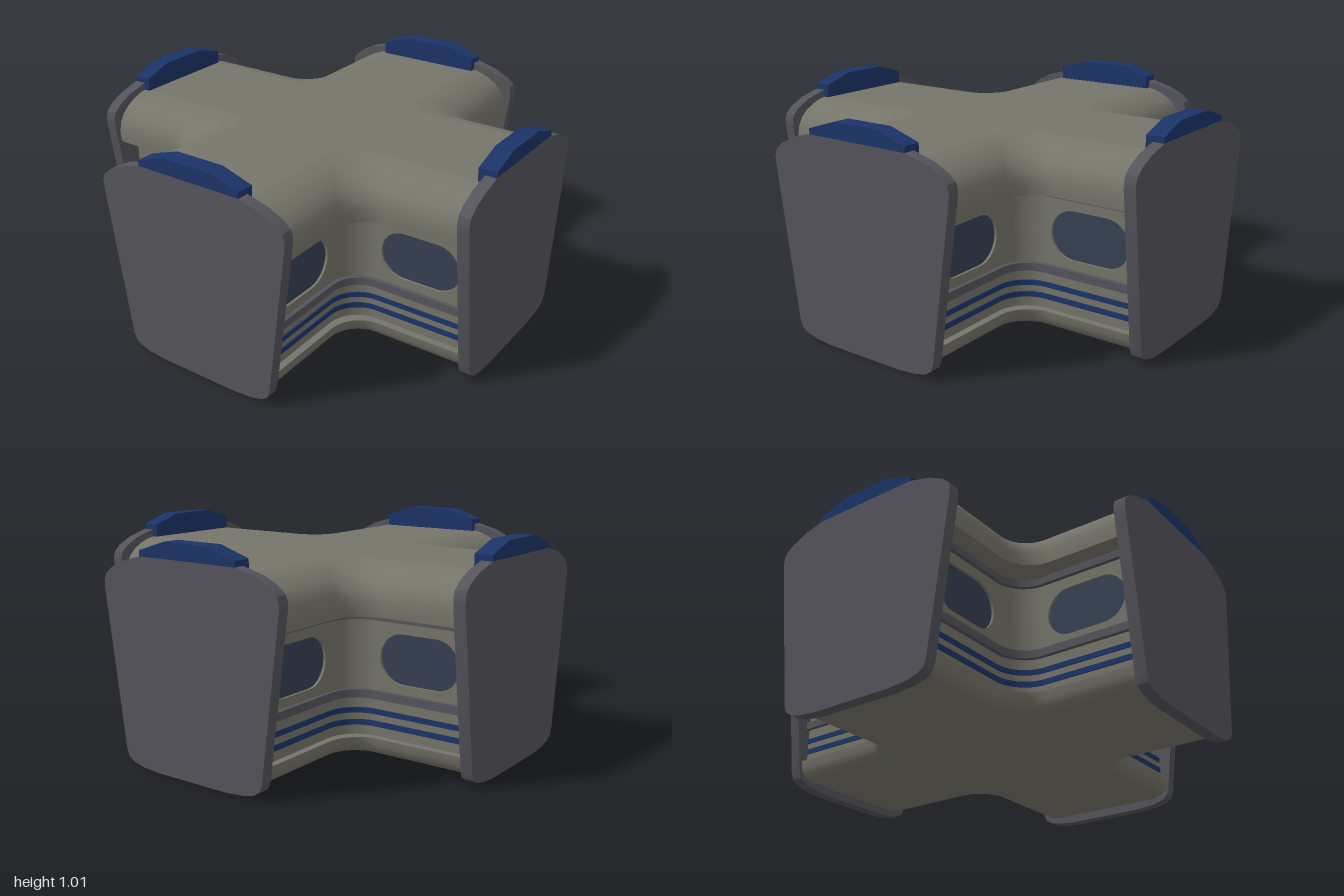
import * as THREE from 'three';
import { toCreasedNormals } from 'three/addons/utils/BufferGeometryUtils.js';

const mat = (color) => new THREE.MeshStandardMaterial({ color, side: THREE.DoubleSide });
const HULL = mat(0x76756a), GREY = mat(0x55545b), BLUE = mat(0x1b3368), GLASS = mat(0x364052);

const R = 0.15;      // fillet radius where two arms meet
const END = 0.96;    // arm length, ending inside the end plates
const WALL = 0.345;  // distance of the recessed upright wall from the arm axis
const EAVE = 0.69, LEDGE = 0.13;  // top and bottom of the recess

// Hull sections above and below the recess, top to bottom: [distance from arm axis, height]
const SHOULDER = [
  [0.26, 0.905], [0.3, 0.898], [0.345, 0.882], [0.39, 0.857], [0.425, 0.825], [0.446, 0.787],
  [0.455, 0.745], [0.452, EAVE], [WALL, EAVE],
];
const SILL = [
  [WALL, LEDGE], [0.378, LEDGE], [0.372, 0.095], [0.36, 0.068], [0.338, 0.05], [0.31, 0.042], [0.28, 0.04],
];

// Plan path of one inner corner, from the z arm round to the x arm
const STEPS = 16;
function cornerPath(w, off = 0) {
  const c = w + R, r = R - off, pts = [[w + off, END]];
  for (let i = 0; i <= STEPS; i++) {
    const a = (i / STEPS) * Math.PI / 2;
    pts.push([c - r * Math.cos(a), c - r * Math.sin(a)]);
  }
  pts.push([END, w + off]);
  return pts;
}

// Surface through a grid of points: columns along the path, rows downwards
function grid(columns) {
  const n = columns[0].length, index = [];
  for (let i = 0; i < columns.length - 1; i++)
    for (let j = 0; j < n - 1; j++) {
      const a = i * n + j, b = a + n;
      index.push(a, a + 1, b, b, a + 1, b + 1);
    }
  const g = new THREE.BufferGeometry();
  g.setAttribute('position', new THREE.Float32BufferAttribute(columns.flat(2), 3));
  g.setIndex(index);
  g.computeVertexNormals();
  return g;
}

// Sweep rows of [width, height, offset] round the corner
function sweep(rows) {
  const paths = rows.map(([w, , off]) => cornerPath(w, off));
  const columns = paths[0].map((_, i) => rows.map(([, y], j) => [paths[j][i][0], y, paths[j][i][1]]));
  return toCreasedNormals(grid(columns), 0.7);
}

// Raised strip on the recessed wall between two heights
const strip = (y0, y1, off) => sweep([[WALL, y1, 0], [WALL, y1, off], [WALL, y0, off], [WALL, y0, 0]]);

// Window: a slot from T0 to T1 along an arm, centred at height YC
const T0 = 0.515, T1 = 0.902, YC = 0.493, RW = 0.112;
const slot = [];
for (let i = 0; i <= 10; i++) slot.push(T0 + RW * (1 - Math.cos(i / 10 * Math.PI / 2)));
for (let i = 0; i <= 10; i++) slot.push(T1 - RW * (1 - Math.sin(i / 10 * Math.PI / 2)));
function slotHalf(t) {
  const d = Math.max(T0 + RW - t, t - T1 + RW, 0);
  return Math.sqrt(Math.max(0, RW * RW - d * d));
}

// Recessed wall above or below the window centre line, leaving the openings free
function windowWall(upper) {
  const path = cornerPath(WALL);
  path.splice(1, 0, ...slot.slice().reverse().map((t) => [WALL, t]));
  path.splice(path.length - 1, 0, ...slot.map((t) => [t, WALL]));
  return grid(path.map(([x, z]) => {
    const h = slotHalf(Math.max(x, z));
    return (upper ? [EAVE, YC + h] : [YC - h, LEDGE]).map((y) => [x, y, z]);
  }));
}

// Pane and rim for the window on the x arm (side 1) or the z arm (side -1)
const onArm = (side, t, y, d) => (side > 0 ? [t, y, d] : [d, y, -t]);
function windowPane(side) {
  const order = side > 0 ? slot : slot.slice().reverse();
  return grid(order.map((t) => [1, -1].map((k) => onArm(side, side * t, YC + k * slotHalf(t), WALL - 0.012))));
}
function windowRim(side) {
  const loop = [...slot.map((t) => [t, 1]), ...slot.slice().reverse().map((t) => [t, -1])];
  return grid(loop.map(([t, k]) => [WALL, WALL - 0.014].map((d) => onArm(side, side * t, YC + k * slotHalf(t), d))));
}

// Flat cross-shaped panel for roof and floor
function crossPanel([w, y], up) {
  const pts = [];
  for (let q = 0; q < 4; q++)
    for (const [x, z] of cornerPath(w)) {
      const p = new THREE.Vector2(x, z);
      for (let k = 0; k < q; k++) p.set(p.y, -p.x);
      pts.push(p);
    }
  return new THREE.ShapeGeometry(new THREE.Shape(pts)).rotateX(up ? -Math.PI / 2 : Math.PI / 2).translate(0, y, 0);
}

// Mirrored outline extruded along z
function plate(halfOutline, z0, z1) {
  const left = halfOutline.map(([x, y]) => new THREE.Vector2(x, y));
  const right = halfOutline.slice().reverse().map(([x, y]) => new THREE.Vector2(-x, y));
  const g = new THREE.ExtrudeGeometry(new THREE.Shape([...left, ...right]), { depth: z1 - z0, bevelEnabled: false });
  return toCreasedNormals(g.translate(0, 0, z0), 0.5);
}

export function createModel() {
  const model = new THREE.Group();
  const add = (parent, name, geometry, material) => {
    const m = new THREE.Mesh(geometry, material);
    m.name = name;
    parent.add(m);
  };

  add(model, 'roof', crossPanel(SHOULDER[0], true), HULL);
  add(model, 'floor', crossPanel(SILL[SILL.length - 1], false), HULL);

  const cornerParts = [
    ['shoulder', sweep(SHOULDER), HULL],
    ['windowWallTop', windowWall(true), HULL],
    ['windowWallBottom', windowWall(false), HULL],
    ['sill', sweep(SILL), HULL],
    ['upperRail', strip(0.655, EAVE, 0.02), GREY],
    ['lowerRail', strip(0.303, 0.34, 0.02), GREY],
    ['upperStripe', strip(0.23, 0.254, 0.005), BLUE],
    ['lowerStripe', strip(0.174, 0.199, 0.005), BLUE],
  ];
  for (const side of [-1, 1]) {
    cornerParts.push(['windowPane', windowPane(side), GLASS]);
    cornerParts.push(['windowRim', windowRim(side), HULL]);
  }

  const endPlate = plate([
    [0.2, 0], [0.29, 0.008], [0.345, 0.022], [0.375, 0.042], [0.388, 0.075], [0.484, 0.785],
    [0.485, 0.82], [0.475, 0.848], [0.44, 0.878], [0.37, 0.912], [0.265, 0.94],
  ], 0.945, 1);
  const endCap = plate([[0.265, 0.9], [0.265, 0.966], [0.12, 1.012]], 0.915, 0.999);

  // Four identical corners and four identical arm ends
  for (let q = 0; q < 4; q++) {
    const corner = new THREE.Group(), end = new THREE.Group();
    corner.name = 'corner';
    end.name = 'armEnd';
    corner.rotation.y = end.rotation.y = q * Math.PI / 2;
    cornerParts.forEach(([name, g, m]) => add(corner, name, g, m));
    add(end, 'endPlate', endPlate, GREY);
    add(end, 'endCap', endCap, BLUE);
    model.add(corner, end);
  }
  return model;
}
